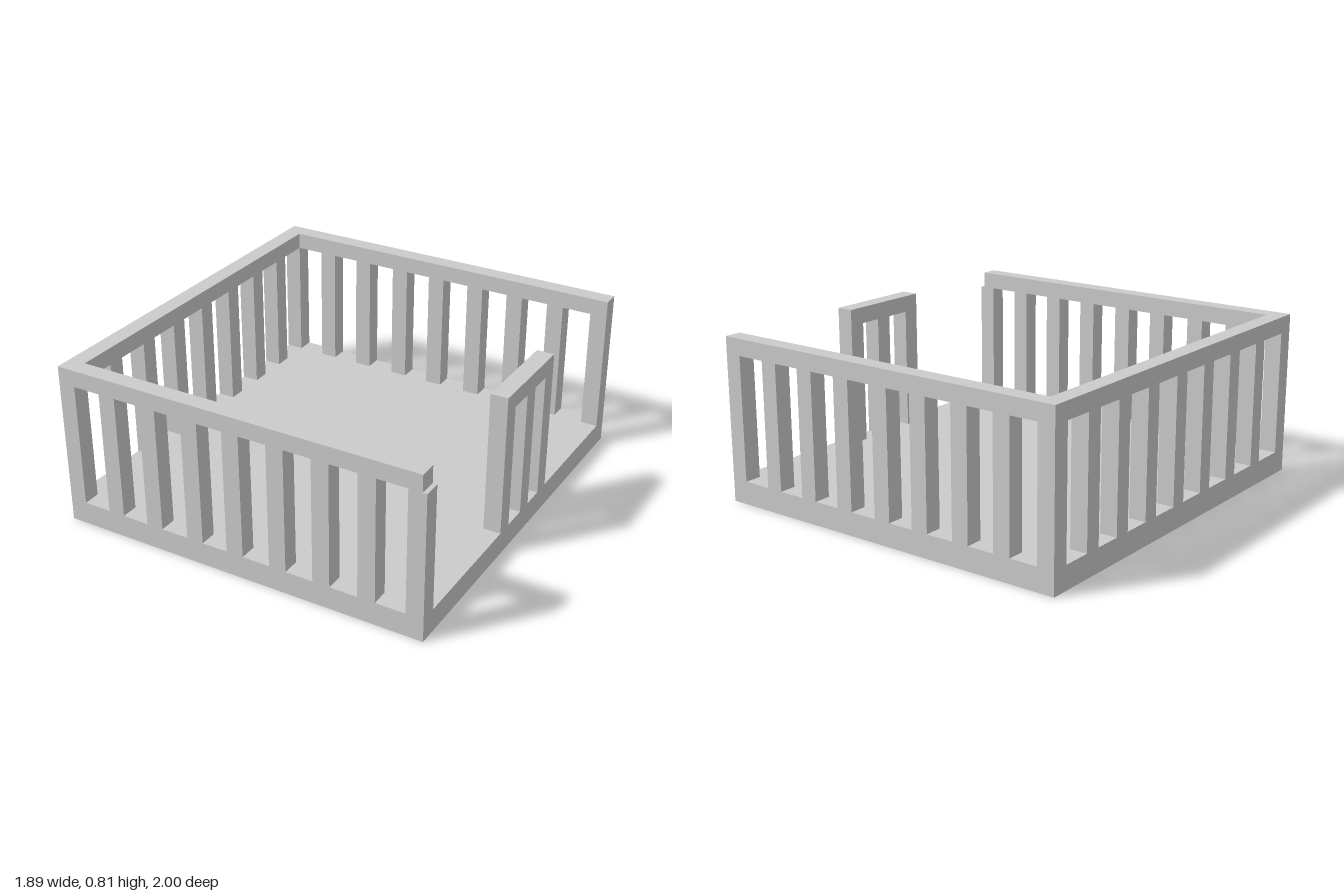
import * as THREE from 'three';

const HALF_X = 0.943, HALF_Z = 1;      // floor half sizes
const FLOOR = 0.115, RAIL = 0.732, TOP = 0.815;
const T = 0.086;                       // thickness of posts and rails

export function createModel() {
  const model = new THREE.Group();
  const material = new THREE.MeshStandardMaterial({ color: 0xcccccc, flatShading: true });

  // Box given by its extents on each axis
  function box(parent, name, [x0, x1], [y0, y1], [z0, z1]) {
    const mesh = new THREE.Mesh(new THREE.BoxGeometry(x1 - x0, y1 - y0, z1 - z0), material);
    mesh.position.set((x0 + x1) / 2, (y0 + y1) / 2, (z0 + z1) / 2);
    mesh.name = name;
    parent.add(mesh);
  }

  function section(name) {
    const group = new THREE.Group();
    group.name = name;
    model.add(group);
    return group;
  }

  const around = (c) => [c - T / 2, c + T / 2];
  const postY = [FLOOR, RAIL], railY = [RAIL, TOP];

  box(model, 'floor', [-HALF_X, HALF_X], [0, FLOOR], [-HALF_Z, HALF_Z]);

  // Front and back fences: nine posts each, the front rail stops a little short
  const postX = [-0.9, -0.674, -0.452, -0.226, -0.009, 0.217, 0.441, 0.666, 0.9];
  for (const [name, z, railEnd] of [['front', HALF_Z - T / 2, 0.922], ['back', -HALF_Z + T / 2, HALF_X]]) {
    const fence = section(name + 'Fence');
    for (const x of postX) box(fence, name + 'Post', around(x), postY, around(z));
    box(fence, name + 'Rail', [-HALF_X, railEnd], railY, around(z));
  }

  // Right side fence at -x, sharing its corner posts with front and back
  const side = section('rightFence');
  const sideX = [-HALF_X, -HALF_X + T];
  for (const z of [0.697, 0.446, 0.205, -0.031, -0.267, -0.497, -0.722]) {
    box(side, 'rightPost', sideX, postY, around(z));
  }
  box(side, 'rightRail', sideX, railY, [-HALF_Z + T, HALF_Z - T]);

  // Short free-standing fence between the two openings at +x
  const middle = section('leftMiddleFence');
  const middleX = [HALF_X - T, HALF_X];
  for (const z of [0.207, -0.007, -0.205]) box(middle, 'leftMiddlePost', middleX, postY, around(z));
  box(middle, 'leftMiddleRail', middleX, railY, [-0.248, 0.25]);

  return model;
}
